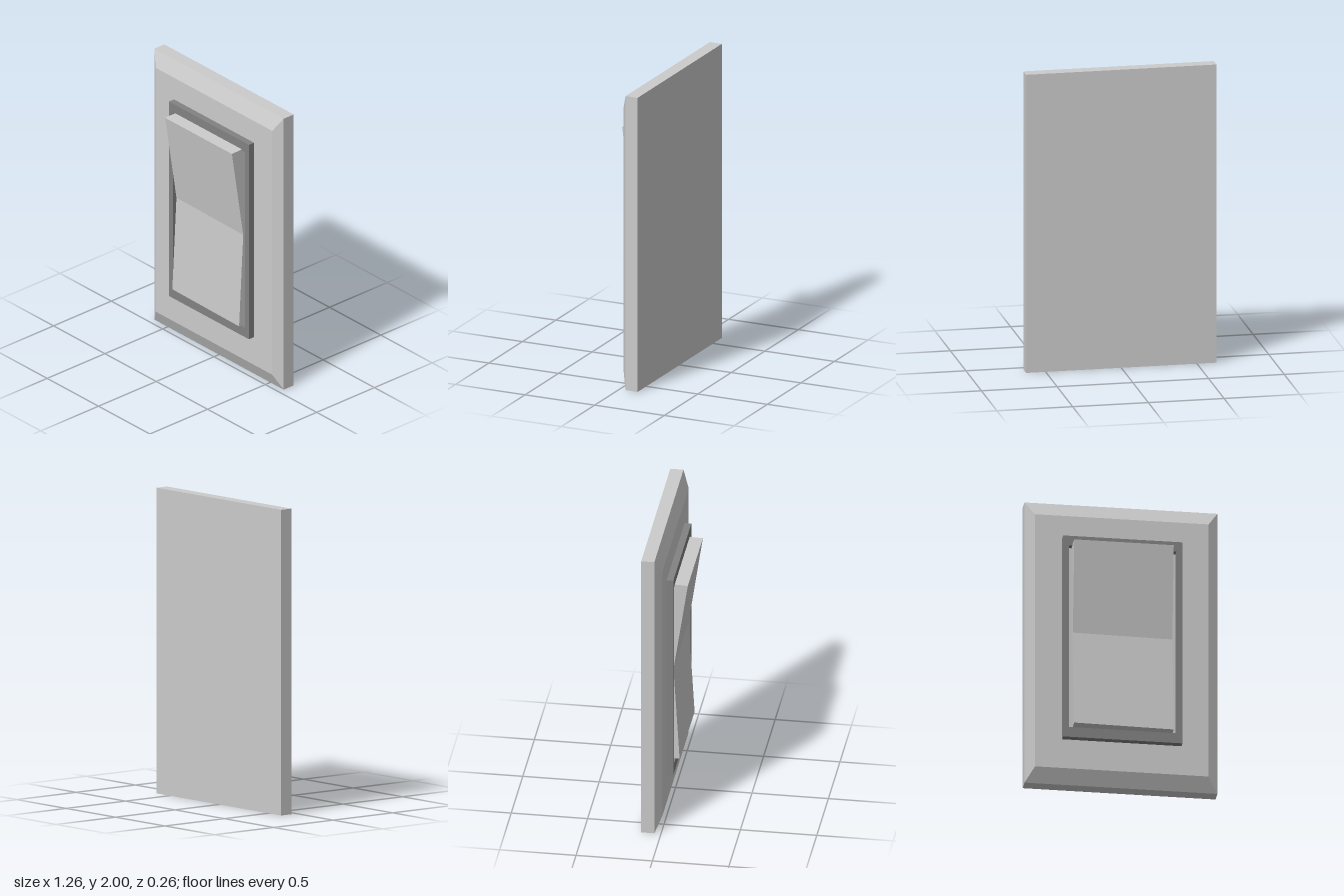
import * as THREE from 'three';

const grey = new THREE.MeshStandardMaterial({ color: 0xcccccc, flatShading: true });
const dark = new THREE.MeshStandardMaterial({ color: 0x828282, flatShading: true });

function addMesh(group, name, geometry, material) {
  const mesh = new THREE.Mesh(geometry, material);
  mesh.name = name;
  group.add(mesh);
}

// Wall plate: a box whose front layer is drawn in to form the bevel
function plateGeometry() {
  const geo = new THREE.BoxGeometry(1.26, 2, 0.13, 1, 1, 2);
  const pos = geo.attributes.position;
  for (let i = 0; i < pos.count; i++) {
    const z = pos.getZ(i);
    if (z > 0.01) pos.setXY(i, Math.sign(pos.getX(i)) * 0.567, Math.sign(pos.getY(i)) * 0.9);
    else if (z > -0.01) pos.setZ(i, 0.0215);
  }
  geo.translate(0, 1, -0.065);
  const flat = geo.toNonIndexed();
  flat.computeVertexNormals();
  return flat;
}

function rectangle(path, x, y0, y1) {
  path.moveTo(-x, y0).lineTo(x, y0).lineTo(x, y1).lineTo(-x, y1).closePath();
  return path;
}

// Raised rim with a rectangular opening
function rimGeometry() {
  const shape = rectangle(new THREE.Shape(), 0.39, 0.305, 1.74);
  shape.holes.push(rectangle(new THREE.Path(), 0.35, 0.375, 1.672));
  return new THREE.ExtrudeGeometry(shape, { depth: 0.044, bevelEnabled: false });
}

// Rocker: a side profile (z, y) swept across x, seated very slightly askew
function rockerGeometry() {
  const profile = [[-0.12, 0.39], [0.075, 0.39], [0.036, 1.05], [0.13, 1.676], [-0.12, 1.685]];
  const shape = new THREE.Shape(profile.map(([z, y]) => new THREE.Vector2(z, y)));
  const geo = new THREE.ExtrudeGeometry(shape, { depth: 0.65, bevelEnabled: false });
  geo.rotateY(-Math.PI / 2).translate(0.325, 0, 0);
  const pos = geo.attributes.position;
  for (let i = 0; i < pos.count; i++) {
    const x = pos.getX(i), y = pos.getY(i);
    pos.setX(i, x - 0.006 * (y - 1.03));
    if (y < 1.5) pos.setY(i, y - 0.012 * x);
  }
  geo.computeVertexNormals();
  return geo;
}

export function createModel() {
  const group = new THREE.Group();
  group.name = 'lightSwitch';
  addMesh(group, 'wallPlate', plateGeometry(), grey);
  addMesh(group, 'rim', rimGeometry(), dark);
  addMesh(group, 'rocker', rockerGeometry(), grey);
  return group;
}
